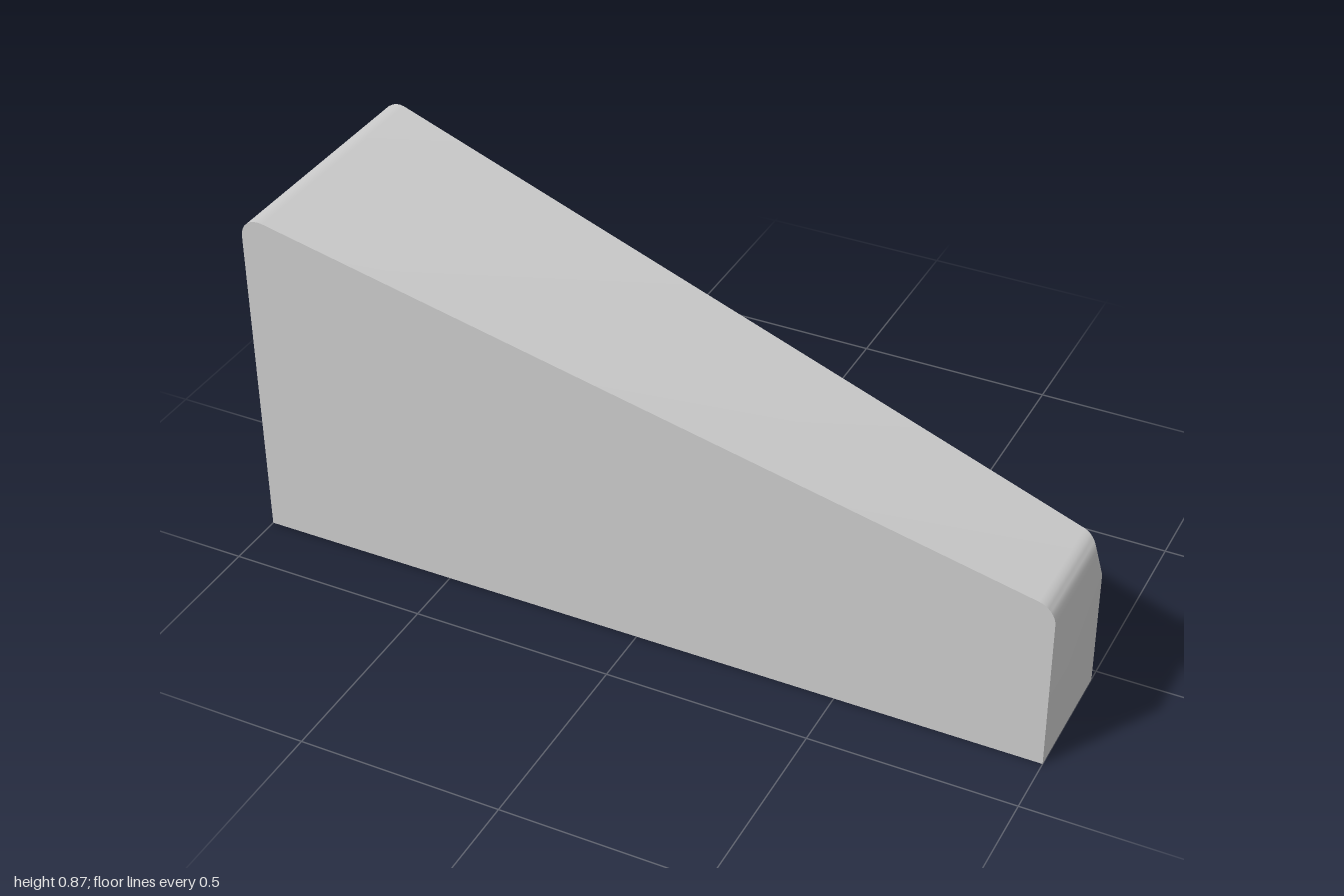
import * as THREE from 'three';
import { toCreasedNormals, mergeGeometries } from 'three/addons/utils/BufferGeometryUtils.js';

const FRONT = 0.35, WALL = 0.03, LIP = 0.015, SEG = 32;
const R_LEFT = 0.06, R_RIGHT = 0.04; // end fillets at -x and +x
const topY = x => 0.655 - 0.224 * x;
const backZ = x => -0.18 + 0.1765 * x;

// x, lower centre, upper centre, mouth radius
const HOLES = [
  [0.85, 0.083, 0.247, 0.047], [0.65, 0.095, 0.281, 0.055],
  [0.43, 0.107, 0.319, 0.067], [0.187, 0.12, 0.36, 0.078],
  [-0.085, 0.138, 0.408, 0.098], [-0.397, 0.156, 0.464, 0.117],
  [-0.753, 0.175, 0.523, 0.138],
].flatMap(([x, y1, y2, r]) => [{ x, y: y1, r }, { x, y: y2, r }]);

// Cross-section at x, inset by e: front, top, sloped label face, back
function section(x, e, front = FRONT) {
  const T = topY(x), B = backZ(x);
  return [
    [x, 0, front],
    [x, T - e, front],
    [x, T - e, B + (0.135 + 1.06 * e) / 1.8],
    [x, T - 0.135 - 0.26 * e, B + e],
    [x, 0, B + e],
  ];
}

// Skin rows of points; skip(i, j) leaves a quad out
function loft(rows, { flip = false, caps = false, skip = () => false } = {}) {
  const pos = [];
  const tri = (a, b, c) => pos.push(...a, ...(flip ? c : b), ...(flip ? b : c));
  for (let i = 0; i < rows.length - 1; i++) {
    const a = rows[i], b = rows[i + 1];
    for (let j = 0; j < a.length - 1; j++) {
      if (skip(i, j)) continue;
      tri(a[j], b[j], b[j + 1]);
      tri(a[j], b[j + 1], a[j + 1]);
    }
  }
  if (caps) {
    const a = rows[0], b = rows[rows.length - 1];
    for (let k = 1; k < a.length - 1; k++) {
      tri(a[0], a[k], a[k + 1]);
      tri(b[0], b[k + 1], b[k]);
    }
  }
  const g = new THREE.BufferGeometry();
  g.setAttribute('position', new THREE.Float32BufferAttribute(pos, 3));
  return toCreasedNormals(g, 0.35);
}

// Slanted back wall pierced by the holes
function piercedWall(x0, x1, inset, outward) {
  const p0 = section(x0, inset)[3], p1 = section(x1, inset)[3];
  const shape = new THREE.Shape([[x0, 0], [x1, 0], [x1, p1[1]], [x0, p0[1]]].map(p => new THREE.Vector2(...p)));
  for (const h of HOLES) {
    const r = inset ? h.r - LIP : h.r;
    shape.holes.push(new THREE.Path().absarc(h.x, h.y, r, 0, Math.PI * 2, true));
  }
  const g = new THREE.ShapeGeometry(shape, SEG);
  const p = g.attributes.position;
  for (let i = 0; i < p.count; i++) p.setZ(i, backZ(p.getX(i)) + inset);
  if (outward) g.index.array.reverse();
  const flat = g.toNonIndexed();
  flat.deleteAttribute('uv');
  flat.computeVertexNormals();
  return flat;
}

// Ring around a hole axis, either following the back wall or flat at z
function ring(h, r, depth, z) {
  return Array.from({ length: SEG + 1 }, (_, i) => {
    const a = (i % SEG) / SEG * Math.PI * 2;
    const x = h.x + r * Math.cos(a);
    return [x, h.y + r * Math.sin(a), z ?? backZ(x) + depth];
  });
}

export function createModel() {
  const group = new THREE.Group();
  const material = new THREE.MeshStandardMaterial({ color: 0xcccccc });
  const add = (name, geometry, parent = group) => {
    const mesh = new THREE.Mesh(geometry, material);
    mesh.name = name;
    parent.add(mesh);
  };

  // Outer body, with both ends rounded over the top, slope and back
  const N = 8, left = [], right = [];
  for (let i = 0; i <= N; i++) {
    const a = i / N * Math.PI / 2, s = Math.sin(a), e = 1 - Math.cos(a);
    left.unshift(section(-1 + R_LEFT - R_LEFT * s, R_LEFT * e));
    right.push(section(1 - R_RIGHT + R_RIGHT * s, R_RIGHT * e));
  }
  const rows = [...left, ...right];
  add('outerBody', loft(rows, { caps: true, skip: (i, j) => i === N && j === 3 }));
  add('backWall', piercedWall(-1 + R_LEFT, 1 - R_RIGHT, 0, true));

  // Hollow inside
  const xi = 1 - WALL, inFront = FRONT - WALL;
  const inner = [section(-xi, WALL, inFront), section(xi, WALL, inFront)];
  add('innerShell', mergeGeometries([
    loft(inner, { flip: true, caps: true, skip: (i, j) => j === 3 }),
    piercedWall(-xi, xi, WALL, false),
  ]));

  // Bottom rim around the open underside
  const v = p => new THREE.Vector2(p[0], p[2]);
  const rim = new THREE.Shape([...rows.map(r => v(r[4])), ...rows.map(r => v(r[0])).reverse()]);
  rim.holes.push(new THREE.Path([inner[0][4], inner[0][0], inner[1][0], inner[1][4]].map(v)));
  add('bottomRim', new THREE.ShapeGeometry(rim).rotateX(Math.PI / 2));

  // Sockets: countersunk bore with a floor, and the tube around it
  const sockets = new THREE.Group();
  sockets.name = 'sockets';
  for (const h of HOLES) {
    const r = h.r - LIP;
    add('socketBore', loft([
      ring(h, h.r, 0), ring(h, r, LIP), ring(h, r, 0, inFront), ring(h, 0, 0, inFront),
    ]), sockets);
    add('socketTube', loft([
      ring(h, h.r + 0.012, WALL), ring(h, h.r + 0.012, 0, inFront),
    ], { flip: true }), sockets);
  }
  group.add(sockets);
  return group;
}
